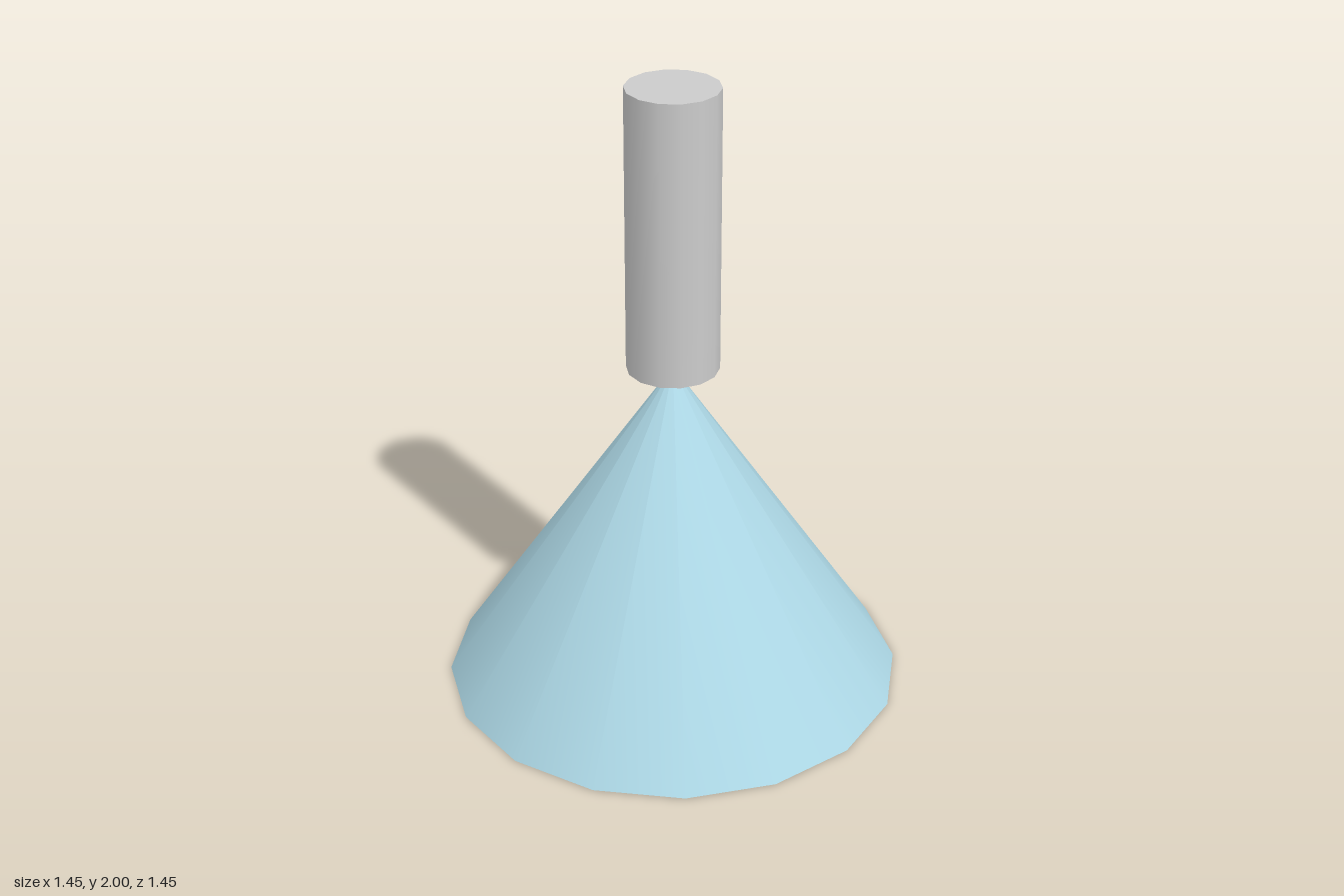
import * as THREE from 'three';

export function createModel() {
  const model = new THREE.Group();

  const add = (name, geometry, color, bottom, height) => {
    const mesh = new THREE.Mesh(geometry, new THREE.MeshStandardMaterial({ color }));
    mesh.name = name;
    mesh.position.y = bottom + height / 2;
    model.add(mesh);
    return mesh;
  };

  // wide outer cone, raised a hair so its base does not clash with the core
  add('outerCone', new THREE.ConeGeometry(0.727, 1.09, 16), 0xadd8e6, 0.001, 1.09);

  // green core nested inside, seen only from below
  add('innerCone', new THREE.ConeGeometry(0.545, 0.727, 16), 0x80b890, 0, 0.727);

  // upright post standing on the tip, with corners on the x axis
  const post = add('post', new THREE.CylinderGeometry(0.145, 0.145, 0.909, 14), 0xcccccc, 1.091, 0.909);
  post.rotation.y = Math.PI / 2;

  return model;
}
